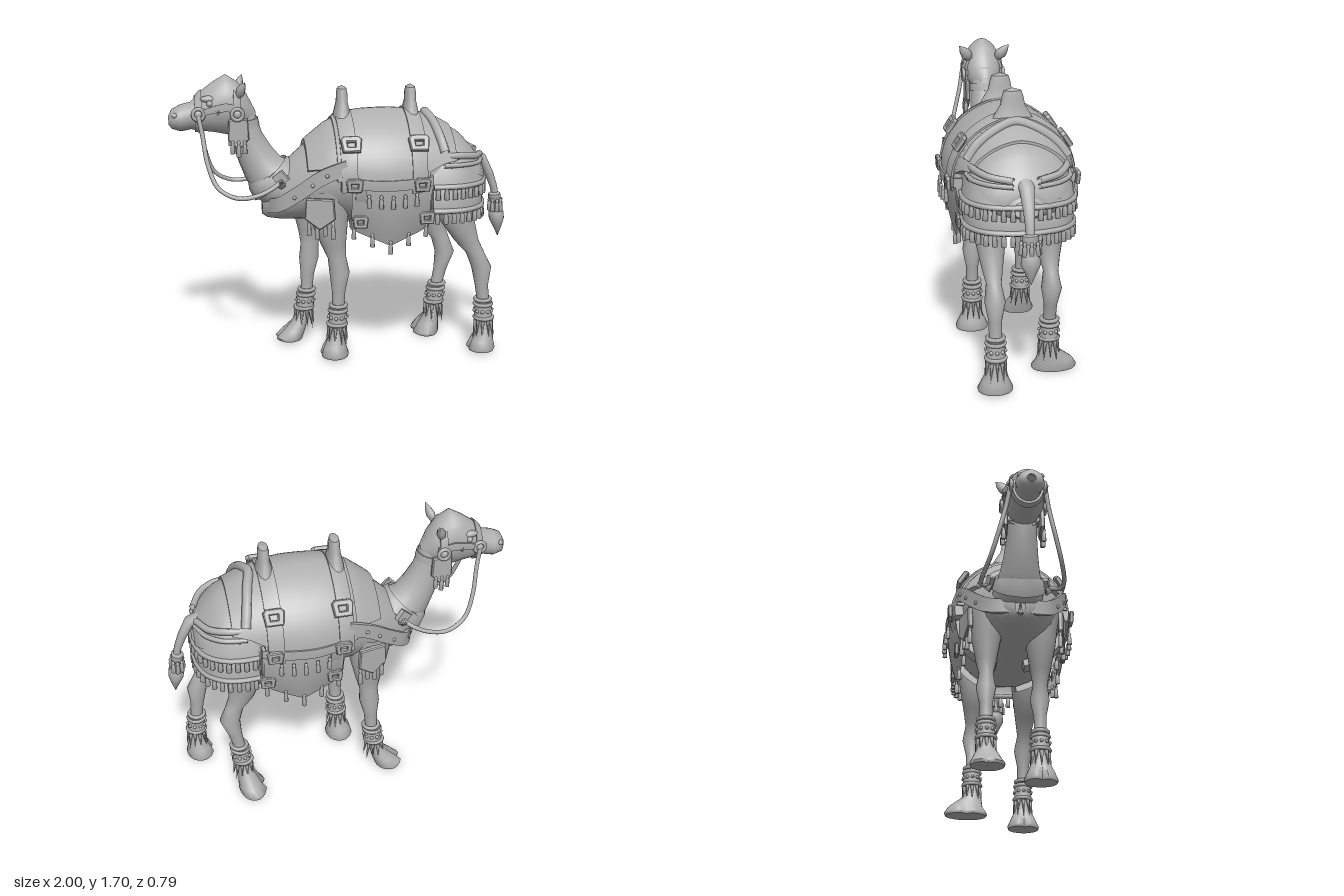
import * as THREE from 'three';
import { mergeVertices, toCreasedNormals } from 'three/addons/utils/BufferGeometryUtils.js';
import { ParametricGeometry } from 'three/addons/geometries/ParametricGeometry.js';

const V = (x, y, z) => new THREE.Vector3(x, y, z);
const SIDES = [1, -1];

// Vertical cross-sections along x: [x, top, bottom, half width]
const BODY = [[-.47, 1.0, .86, .03], [-.44, 1.05, .84, .09], [-.36, 1.15, .83, .16], [-.2, 1.29, .83, .245],
  [-.1, 1.37, .83, .28], [0, 1.42, .82, .305], [.1, 1.435, .79, .325], [.2, 1.44, .77, .335], [.3, 1.44, .775, .33],
  [.4, 1.43, .79, .315], [.55, 1.385, .86, .28], [.7, 1.3, .92, .25], [.8, 1.19, .96, .19], [.85, 1.1, 1.0, .08]];
const HEAD = [[-1, 1.46, 1.41, .025], [-.98, 1.5, 1.385, .068], [-.93, 1.525, 1.37, .082], [-.87, 1.54, 1.38, .07],
  [-.82, 1.595, 1.37, .085], [-.74, 1.655, 1.36, .108], [-.67, 1.695, 1.345, .118], [-.6, 1.65, 1.355, .11],
  [-.55, 1.58, 1.38, .085], [-.5, 1.48, 1.41, .03]];

export function createModel() {
  const model = new THREE.Group();
  model.name = 'saddledCamel';
  const grey = new THREE.MeshStandardMaterial({ color: 0xb0b0b0, side: THREE.DoubleSide });
  grey.name = 'plain grey';

  const add = (name, geo, x = 0, y = 0, z = 0) => {
    const m = new THREE.Mesh(geo, grey);
    m.name = name;
    m.position.set(x, y, z);
    model.add(m);
    return m;
  };
  // Parametric surface with welded seams and sharp creases
  const surface = (fn, nu, nv, crease = 0.8) => {
    let g = new ParametricGeometry((u, v, t) => t.copy(fn(u, v)), nu, nv);
    g.deleteAttribute('uv');
    g.deleteAttribute('normal');
    g = mergeVertices(g, 1e-4);
    return toCreasedNormals(g, crease);
  };
  // Point on a sectioned form; angle 0 is the top, PI/2 the +z side
  const section = (table, x) => {
    let i = 0;
    while (i < table.length - 2 && x > table[i + 1][0]) i++;
    const a = table[i], b = table[i + 1], k = (x - a[0]) / (b[0] - a[0]);
    return a.map((n, j) => n + (b[j] - n) * k);
  };
  const onForm = (table, x, a, off = 0) => {
    const [, top, bot, hz] = section(table, x);
    const c = Math.cos(a), s = Math.sin(a), slim = c > 0 ? Math.abs(s) ** .18 : 1;
    return V(x, (top + bot) / 2 + ((top - bot) / 2 + off) * c, (hz + off) * s * slim);
  };
  const form = (name, table) => add(name, surface((u, v) =>
    onForm(table, table[Math.round(u * (table.length - 1))][0], v * Math.PI * 2), table.length - 1, 24, 1.1));
  // Thick cloth or strap lying on a form; the rim turns inward
  const drape = (name, table, x0, x1, a0, a1, off, nu = 8, nv = 24) => {
    const val = (a, u) => typeof a === 'function' ? a(u) : a;
    add(name, surface((u, v) => {
      const i = Math.round(u * (nu + 2)), j = Math.round(v * (nv + 2));
      const rim = i === 0 || j === 0 || i === nu + 2 || j === nv + 2;
      const uu = THREE.MathUtils.clamp((i - 1) / nu, 0, 1), vv = THREE.MathUtils.clamp((j - 1) / nv, 0, 1);
      return onForm(table, x0 + (x1 - x0) * uu, THREE.MathUtils.lerp(val(a0, uu), val(a1, uu), vv), rim ? 0 : off);
    }, nu + 2, nv + 2));
  };
  // Loft in the xy plane: rows of [x, y, half depth, half width]
  const planarLoft = (name, rows) => add(name, surface((u, v) => {
    const i = Math.round(u * (rows.length - 1)), r = rows[i], a = v * Math.PI * 2;
    const p = rows[Math.max(0, i - 1)], q = rows[Math.min(rows.length - 1, i + 1)];
    const t = V(q[0] - p[0], q[1] - p[1], 0).normalize();
    return V(r[0] - t.y * r[2] * Math.cos(a), r[1] + t.x * r[2] * Math.cos(a), r[3] * Math.sin(a));
  }, rows.length - 1, 20, 1));
  // Flat band standing upright along a curve
  const ribbon = (name, path, w, t, n = 24) => add(name, surface((u, v) => {
    const c = path.getPointAt(u), T = path.getTangentAt(u), k = Math.round(v * 4) % 4;
    const N = T.clone().cross(V(0, 1, 0)).normalize(), W = N.clone().cross(T);
    return c.addScaledVector(N, (k === 1 || k === 2 ? t : -t) / 2).addScaledVector(W, (k < 2 ? w : -w) / 2);
  }, n, 4));
  const curve = pts => new THREE.CatmullRomCurve3(pts.map(p => V(...p)));
  const tube = (name, pts, r) => add(name, new THREE.TubeGeometry(curve(pts), 32, r, 8));
  const tasselGeo = new THREE.LatheGeometry([[0, 0], [.2, .02], [.17, .6], [.1, .72], [.16, .82], [.12, .96], [0, 1]]
    .map(p => new THREE.Vector2(...p)), 8);
  const tassel = (x, y, z, len = .08, fat = 1) => add('tassel', tasselGeo, x, y - len, z).scale.set(.07 * fat, len, .07 * fat);
  const studGeo = new THREE.SphereGeometry(.011, 8, 6);
  const earGeo = new THREE.LatheGeometry([[0, 0], [.024, .02], [.036, .055], [.024, .095], [0, .135]].map(p => new THREE.Vector2(...p)), 8);

  // Pentagonal hanging plate
  const plate = (w, h, d = .02) => {
    const s = new THREE.Shape([[-w, h], [w, h], [w * 1.1, -h * .3], [0, -h], [-w * 1.1, -h * .3]].map(p => new THREE.Vector2(...p)));
    return new THREE.ExtrudeGeometry(s, { depth: d, bevelEnabled: true, bevelSize: .006, bevelThickness: .006, bevelSegments: 1 });
  };
  // Square buckle frame with a cut-out
  const frame = new THREE.Shape([[-.055, .03], [-.04, .045], [.04, .045], [.055, .03], [.045, -.04], [-.045, -.04]].map(p => new THREE.Vector2(...p)));
  frame.holes.push(new THREE.Path([[-.03, .022], [-.026, -.02], [.026, -.02], [.03, .022]].map(p => new THREE.Vector2(...p))));
  const buckleGeo = new THREE.ExtrudeGeometry(frame, { depth: .02, bevelSize: .006, bevelThickness: .006, bevelSegments: 1 });
  const place = (mesh, x, a, off) => {
    const p = onForm(BODY, x, a, off);
    mesh.position.copy(p);
    mesh.lookAt(p.clone().add(V(0, Math.cos(a), Math.sin(a))));
    return mesh;
  };

  // Animal
  form('body', BODY);
  form('head', HEAD);
  planarLoft('neck', [[-.15, 1.02, .17, .16], [-.3, 1.02, .17, .16], [-.41, 1.07, .145, .14], [-.46, 1.14, .12, .115],
    [-.505, 1.22, .105, .1], [-.55, 1.32, .092, .088], [-.575, 1.42, .085, .085], [-.6, 1.52, .075, .08]]);
  planarLoft('tail', [[.78, 1.18, .035, .045], [.85, 1.155, .032, .042], [.9, 1.06, .026, .032], [.93, .98, .022, .026], [.945, .9, .02, .022]]);
  planarLoft('tailTuft', [[.935, .945, .02, .02], [.936, .935, .036, .045], [.94, .9, .036, .045], [.942, .885, .026, .03],
    [.95, .82, .045, .05], [.955, .78, .045, .055], [.96, .74, .03, .035], [.965, .67, .002, .002]]);
  for (let i = 0; i < 8; i++) {
    const a = i * Math.PI / 4;
    tassel(.943 + .035 * Math.cos(a), .91, .05 * Math.sin(a), .08);
  }
  for (const s of SIDES) {
    const ear = add('ear', earGeo, -.605, 1.57, s * .075);
    ear.scale.x = .75;
    ear.rotation.set(s * .68, 0, -.3);
    add('brow', new THREE.SphereGeometry(.04, 10, 8), -.77, 1.565, s * .075).scale.set(1.2, .5, .6);
    add('eye', new THREE.SphereGeometry(.018, 8, 6), -.765, 1.54, s * .095);
    add('nostril', new THREE.SphereGeometry(.016, 8, 6), -.965, 1.47, s * .06);
  }

  // Legs: ring heights, depth and width shared; x path and foot splay differ
  const legY = [1.04, .85, .7, .62, .53, .42, .33, .2, .13, .07, .025, .01, .01];
  const legW = [.11, .088, .06, .042, .058, .037, .036, .037, .055, .08, .1, .095, .001];
  const legD = [.14, .11, .073, .055, .06, .041, .036, .036, .045, .07, .085, .08, .001];
  const leg = (name, xs, z, splay = 0) => {
    add(name, surface((u, v) => {
      const i = Math.round(u * 12), a = v * Math.PI * 2, foot = i > 8 ? splay : 0;
      const notch = i > 8 && i < 12 && Math.abs(v - .5) < .02 ? .7 : 1;
      return V(xs[i] + legD[i] * notch * Math.cos(a), legY[i] - Math.abs(foot) * .3,
        z + foot + legW[i] * (1 + Math.abs(foot) * 8) * Math.sin(a));
    }, 12, 20, 1));
    // Anklet with rims, studs and a fringe
    const x = xs[7], top = xs[6], mid = (x + top) / 2;
    add('anklet', new THREE.CylinderGeometry(.05, .055, .1, 16), mid, .26, z);
    [[.325, .046, 1], [.295, .05, .7], [.21, .054, .1]].forEach(([y, r, k]) => {
      add('ankletRim', new THREE.TorusGeometry(r, .012, 6, 16), x + (top - x) * k, y, z).rotation.x = Math.PI / 2;
    });
    for (let i = 0; i < 10; i++) {
      const a = i * Math.PI / 5, c = Math.cos(a), d = Math.sin(a);
      add('stud', studGeo, mid + c * .054, .255, z + d * .054);
      const f = add('fringe', new THREE.ConeGeometry(.013, .12, 5), x + c * .056, .15 - (i % 2) * .015, z + d * .056);
      f.rotation.set(Math.PI - d * .15, 0, -c * .15);
    }
  };
  leg('frontLeftLeg', [-.1, -.09, -.065, -.045, -.03, -.035, -.037, -.045, -.05, -.06, -.06, -.06, -.06], .165);
  leg('frontRightLeg', [-.17, -.165, -.165, -.17, -.175, -.185, -.19, -.21, -.23, -.27, -.3, -.3, -.3], -.165);
  leg('hindLeftLeg', [.64, .66, .73, .785, .825, .83, .84, .85, .855, .84, .835, .835, .835], .17);
  leg('hindRightLeg', [.6, .57, .6, .645, .675, .65, .63, .61, .6, .58, .565, .565, .565], -.175, -.04);

  // Saddle cloths, stepped from the middle outward
  drape('shoulderCloth', BODY, -.22, .02, u => -1.1 - .4 * u, u => 1.1 + .4 * u, .03);
  drape('shoulderTrim', BODY, -.06, .02, -1.55, 1.55, .042, 3);
  drape('saddleCloth', BODY, -.02, .47, -1.55, 1.55, .04);
  drape('rearCloth', BODY, .43, .64, u => -1.5 + .3 * u, u => 1.5 - .3 * u, .04);
  drape('rumpCloth', BODY, .6, .84, -1.4, 1.4, .025);
  tube('saddleRoll', [-1.1, -.8, -.4, 0, .4, .8, 1.1].map(a => onForm(BODY, .5 + .06 * Math.abs(a), a, .045).toArray()), .028);
  for (const x of [.005, .41]) {
    drape('saddleStrap', BODY, x - .045, x + .045, -1.75, 1.75, .05, 3);
    // Pommel post flaring into the saddle
    add('pommel', surface((u, v) => {
      const r = [[1.4, .06, .14], [1.47, .045, .1], [1.52, .034, .07], [1.57, .033, .06], [1.6, .027, .05], [1.615, .001, .001]][Math.round(u * 5)];
      const a = v * Math.PI * 2;
      return V(x + r[1] * Math.cos(a), r[0], r[2] * Math.sin(a));
    }, 5, 14));
  }
  for (const s of SIDES) {
    // Hanging girth cloth with pointed hem
    const hemY = u => .72 + .1 * Math.abs(2 * u - 1);
    const girth = (u, v, out = 0) => V(.02 + .46 * u, THREE.MathUtils.lerp(1.1, hemY(u), v),
      s * (.365 + out - .065 * v * v - .03 * (2 * u - 1) ** 2));
    add('girthCloth', surface((u, v) => girth(u, v), 8, 6));
    drape('girthBand', BODY, .0, .49, s * 1.52, s * 1.68, .05, 8, 4);
    for (const x of [.02, .41]) {
      place(add('buckle', buckleGeo), x, s * .98, .05);
      place(add('buckle', buckleGeo), x + .01, s * 1.62, .05).scale.setScalar(.8);
      drape('girthStrap', BODY, x + .02, x + .08, s * 1.6, s * 2.9, .04, 2, 12);
      const low = add('buckle', buckleGeo);
      low.position.copy(girth((x + .03) / .46, .75, .005));
      low.rotation.y = s > 0 ? 0 : Math.PI;
      low.scale.setScalar(.75);
    }
    for (let i = 0; i < 5; i++) {
      const u = .2 + i * .15, p = girth(u, .16, .02), q = girth(.04 + i * .23, 1, .005);
      tassel(p.x, p.y, p.z, .08);
      tassel(q.x, q.y + .035, q.z, .085);
    }
    // Breast strap, shoulder plate and tassels
    ribbon('breastStrap', curve([[0, 1.2, s * .33], [-.14, 1.14, s * .3], [-.28, 1.03, s * .235], [-.39, .95, s * .16], [-.46, .92, 0]]), .085, .022);
    [[-.12, 1.15, .32], [-.2, 1.09, .29], [-.3, 1.01, .24]].forEach(p => add('stud', studGeo, p[0], p[1], s * p[2]));
    const flap = add('shoulderPlate', plate(.075, .085), -.155, .92, s * .275);
    flap.rotation.y = s > 0 ? -.25 : Math.PI + .25;
    for (let i = 0; i < 4; i++) tassel(-.22 + i * .045, .9 - (i % 2) * .02, s * (.265 + i * .012), .11);
    const badge = add('collarBadge', new THREE.BoxGeometry(.07, .07, .03), -.37, 1.11, s * .165);
    badge.rotation.set(0, s * -.3, .7);
    add('reinLoop', new THREE.ConeGeometry(.03, .09, 6), -.37, 1.09, s * .2).rotation.x = s * 1.2;

    // Reins, cheek rings and cheek pendants
    tube('rein', [[-.83, 1.47, s * .1], [-.81, 1.36, s * .12], [-.785, 1.2, s * .16], [-.73, 1.07, s * .2], [-.62, 1.015, s * .23],
      [-.5, 1.03, s * .23], [-.41, 1.07, s * .21], [-.36, 1.1, s * .17]], .013);
    drape('cheekStrap', HEAD, -.83, -.58, s * 1.42, s * 1.68, .012, 8, 3);
    [[-.83, .095], [-.61, .125]].forEach(([x, z]) => {
      add('bridleRing', new THREE.TorusGeometry(.032, .011, 8, 16), x, 1.48, s * z);
      add('bridleBoss', new THREE.SphereGeometry(.022, 10, 8), x, 1.48, s * z).scale.z = .6;
    });
    add('bridleDiamond', new THREE.OctahedronGeometry(.026), -.72, 1.5, s * .115).scale.z = .5;
    add('cheekPendant', plate(.05, .085, .015), -.605, 1.36, s * .105 - .0075);
    for (const k of [-1, 0, 1]) tassel(-.605 + k * .035, 1.33, s * .115, .1 - Math.abs(k) * .02);
  }

  // Bridle bands and neck collar
  drape('noseband', HEAD, -.85, -.81, 0, Math.PI * 2, .012, 2);
  drape('headband', HEAD, -.63, -.59, .9, Math.PI * 2 - .9, .014, 2);
  planarLoft('collar', [[-.39, 1.06, .12, .1], [-.39, 1.061, .168, .155], [-.435, 1.11, .145, .14], [-.435, 1.111, .12, .1]]);
  planarLoft('neckBand', [[-.572, 1.38, .08, .07], [-.573, 1.385, .098, .095], [-.58, 1.43, .095, .095], [-.58, 1.435, .07, .07]]);

  // Rump skirts: two sloping tiers with tasselled hems
  const skirt = (y, grow) => {
    const half = [[.5, .3], [.6, .305], [.7, .285], [.79, .215], [.835, .1]];
    const back = half.map(([x, z]) => [x + (x > .75 ? grow : 0), y, -z - grow]).reverse();
    return curve([...half.map(([x, z]) => [x + (x > .75 ? grow : 0), y, z + grow]), [.845 + grow, y, 0], ...back]);
  };
  [[[1.21, -.05], [1.13, -.01], [1.06, .005]], [[1.06, -.025], [.98, 0], [.915, 0]]].forEach(tier => {
    const paths = tier.map(([y, grow]) => skirt(y, grow)), hem = paths[2];
    add('rumpSkirt', surface((u, v) => paths[Math.round(v * 2)].getPointAt(u), 32, 2, 1));
    add('skirtHem', new THREE.TubeGeometry(hem, 40, .016, 6));
    for (let i = 0; i < 22; i++) {
      const p = hem.getPointAt((i + .5) / 22);
      tassel(p.x, p.y + .01, p.z, .085, 1.1);
    }
  });
  for (const s of SIDES) {
    tube('rumpRoll', [[.56, 1.23, s * .265], [.67, 1.23, s * .25], [.76, 1.215, s * .19], [.82, 1.2, s * .07]], .02);
    tube('rumpRoll', [[.56, 1.18, s * .285], [.69, 1.18, s * .265], [.78, 1.175, s * .19], [.83, 1.17, s * .07]], .014);
  }
  return model;
}
